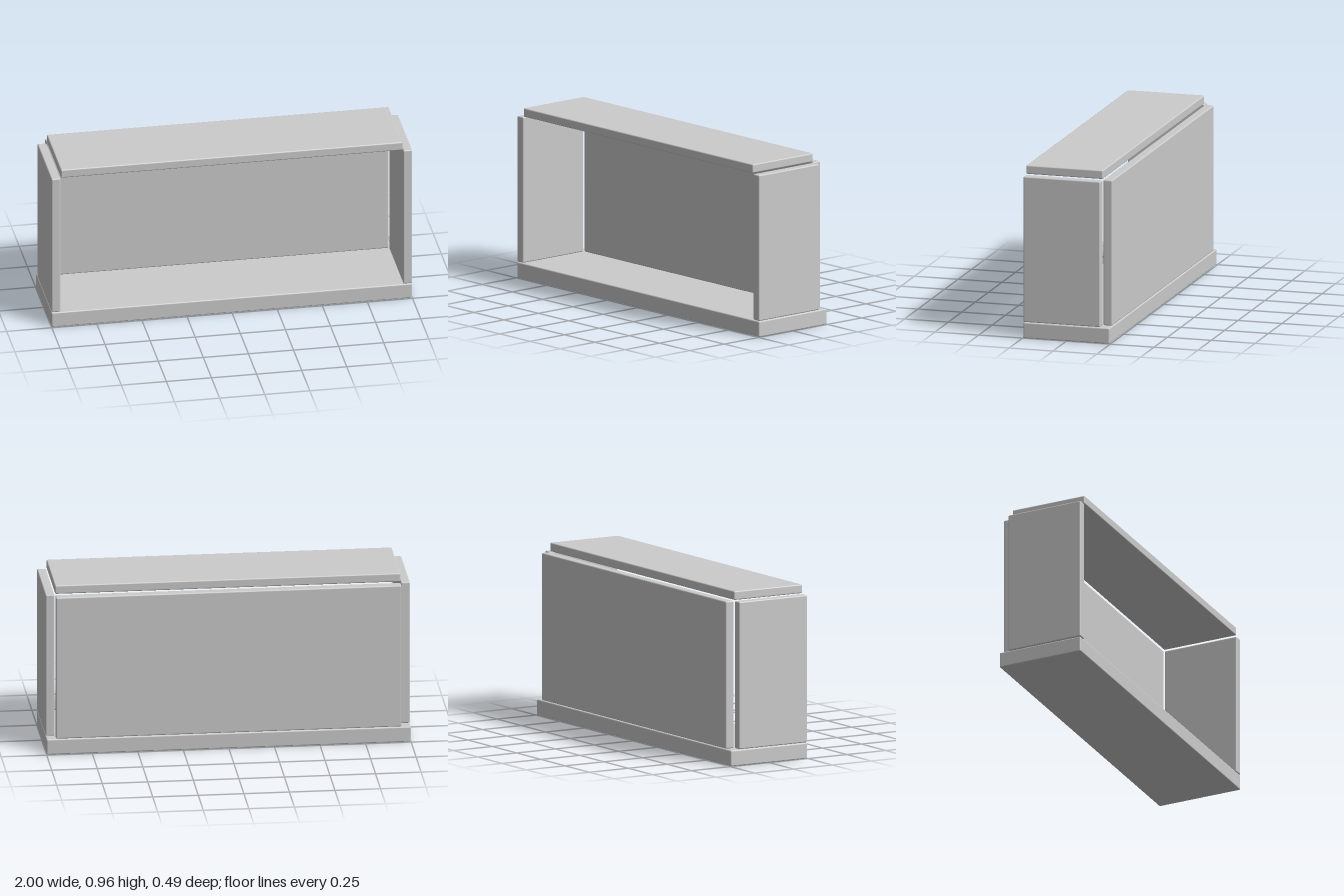
import * as THREE from 'three';
import { RoundedBoxGeometry } from 'three/addons/geometries/RoundedBoxGeometry.js';

const material = new THREE.MeshStandardMaterial({ color: 0xcccccc });

// Board with softly rounded edges, given by its extent on each axis
function board(name, [x0, x1], [y0, y1], [z0, z1]) {
  const geometry = new RoundedBoxGeometry(x1 - x0, y1 - y0, z1 - z0, 2, 0.007);
  const mesh = new THREE.Mesh(geometry, material);
  mesh.name = name;
  mesh.position.set((x0 + x1) / 2, (y0 + y1) / 2, (z0 + z1) / 2);
  return mesh;
}

export function createModel() {
  const model = new THREE.Group();
  model.name = 'openBoxShelf';
  const wallY = [0.09, 0.905];
  const depth = [-0.192, 0.246];

  // Thick base under all the walls
  model.add(board('base', [-1, 1], [0, 0.088], [-0.246, 0.246]));

  // Side walls, stopping short of the back panel
  model.add(board('leftSide', [0.95, 1], wallY, depth));
  model.add(board('rightSide', [-1, -0.95], wallY, depth));

  // Back panel between the rear corners, and the top board above the opening
  model.add(board('backPanel', [-0.948, 0.948], wallY, [-0.246, -0.195]));
  model.add(board('topBoard', [-0.948, 0.948], [0.908, 0.957], depth));

  return model;
}
